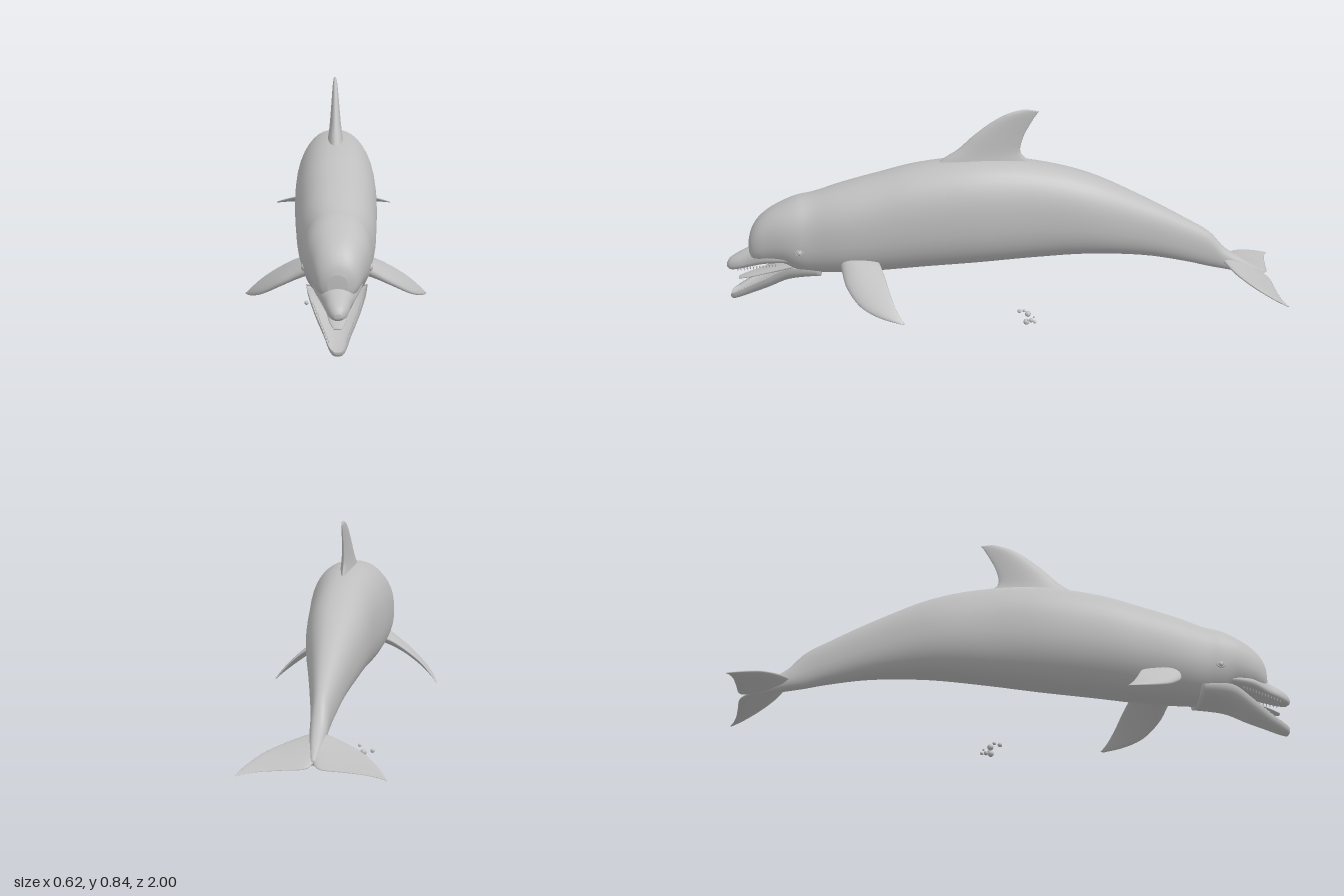
import * as THREE from 'three';

// Smoothly resample a list of number rows
function resample(rows, steps) {
  const out = [];
  for (let i = 0; i < rows.length - 1; i++) {
    const p0 = rows[Math.max(i - 1, 0)], p1 = rows[i], p2 = rows[i + 1];
    const p3 = rows[Math.min(i + 2, rows.length - 1)];
    for (let s = 0; s < steps; s++) {
      const t = s / steps;
      out.push(p1.map((v, k) => v + 0.5 * t * (p2[k] - p0[k]
        + t * (2 * p0[k] - 5 * v + 4 * p2[k] - p3[k]
        + t * (3 * (v - p2[k]) + p3[k] - p0[k])))));
    }
  }
  out.push(rows[rows.length - 1]);
  return out;
}

// Skin closed rings of points, with capped ends; mirror flips it across x
function skin(rings, mirror = false) {
  const n = rings[0].length, pos = [], idx = [];
  const add = (p) => pos.push(mirror ? -p.x : p.x, p.y, p.z);
  const tri = (a, b, c) => (mirror ? idx.push(a, c, b) : idx.push(a, b, c));
  rings.forEach((r) => r.forEach(add));
  const ends = [rings[0], rings[rings.length - 1]];
  ends.forEach((r) => add(r.reduce((s, p) => s.add(p), new THREE.Vector3()).divideScalar(n)));
  const first = rings.length * n, last = (rings.length - 1) * n;
  for (let j = 0; j < n; j++) {
    const k = (j + 1) % n;
    for (let i = 0; i < rings.length - 1; i++) {
      const a = i * n + j, b = i * n + k;
      tri(a, b, b + n);
      tri(a, b + n, a + n);
    }
    tri(first, k, j);
    tri(first + 1, last + j, last + k);
  }
  const g = new THREE.BufferGeometry();
  g.setAttribute('position', new THREE.Float32BufferAttribute(pos, 3));
  g.setIndex(idx);
  g.computeVertexNormals();
  return g;
}

// Rounded sections along z: rows of [z, top, middle, bottom, half width]
function trunk(rows, sides = 40, power = 0.88) {
  const soft = (v) => Math.sign(v) * Math.abs(v) ** power;
  return skin(resample(rows, 5).map(([z, top, mid, bot, w]) =>
    Array.from({ length: sides }, (_, j) => {
      const a = (j / sides) * Math.PI * 2, s = soft(Math.sin(a));
      const y = mid + (s > 0 ? (top - mid) * s : (mid - bot) * s);
      return new THREE.Vector3(w * soft(Math.cos(a)), y, z);
    })));
}

// Foil sections: rows of [leading x, y, z, trailing x, y, z, half thickness]
function foil(rows, normal, mirror) {
  const sides = 24;
  return skin(resample(rows, 5).map(([lx, ly, lz, tx, ty, tz, h]) => {
    const lead = new THREE.Vector3(lx, ly, lz), trail = new THREE.Vector3(tx, ty, tz);
    return Array.from({ length: sides }, (_, j) => {
      const a = (j / sides) * Math.PI * 2;
      return trail.clone().lerp(lead, 0.5 + 0.5 * Math.cos(a))
        .addScaledVector(normal, h * Math.sin(a) * (0.8 + 0.35 * Math.cos(a)));
    });
  }), mirror);
}

export function createModel() {
  const group = new THREE.Group();
  const grey = new THREE.MeshStandardMaterial({ color: 0xbfbfbf });
  grey.name = 'plain grey';
  const add = (name, geometry, x = 0, y = 0, z = 0) => {
    const mesh = new THREE.Mesh(geometry, grey);
    mesh.name = name;
    mesh.position.set(x, y, z);
    group.add(mesh);
    return mesh;
  };

  // Body from tail stock to forehead: [z, top, bottom, half width]
  const body = [
    [-0.93, 0.22, 0.2, 0.008], [-0.87, 0.26, 0.21, 0.02], [-0.8, 0.305, 0.225, 0.028],
    [-0.74, 0.37, 0.237, 0.032], [-0.65, 0.425, 0.26, 0.045], [-0.5, 0.507, 0.288, 0.07],
    [-0.3, 0.6, 0.3, 0.104], [-0.1, 0.65, 0.29, 0.12], [0.1, 0.665, 0.275, 0.137],
    [0.3, 0.645, 0.262, 0.14], [0.45, 0.608, 0.25, 0.135], [0.58, 0.572, 0.245, 0.128],
    [0.68, 0.54, 0.245, 0.113], [0.74, 0.527, 0.255, 0.11], [0.79, 0.507, 0.28, 0.102],
    [0.84, 0.48, 0.285, 0.088], [0.88, 0.447, 0.285, 0.074], [0.905, 0.41, 0.292, 0.056],
    [0.916, 0.375, 0.31, 0.03],
  ];
  add('body', trunk(body.map(([z, t, b, w]) => [z, t, (t + b) / 2, b, w])));

  // Upper beak
  add('upperBeak', trunk([
    [0.76, 0.36, 0.315, 0.292, 0.085], [0.85, 0.36, 0.312, 0.285, 0.072],
    [0.92, 0.332, 0.29, 0.266, 0.046], [0.96, 0.312, 0.278, 0.255, 0.036],
    [0.988, 0.294, 0.27, 0.252, 0.024], [1.0, 0.276, 0.268, 0.26, 0.01],
  ], 28));

  // Lower jaw: the section top dips below the lips to form a channel
  add('lowerJaw', trunk([
    [0.66, 0.26, 0.28, 0.24, 0.1], [0.77, 0.255, 0.287, 0.224, 0.094],
    [0.85, 0.212, 0.243, 0.188, 0.072], [0.92, 0.177, 0.2, 0.158, 0.046],
    [0.96, 0.16, 0.177, 0.142, 0.034], [0.985, 0.155, 0.163, 0.136, 0.024],
    [0.993, 0.153, 0.154, 0.145, 0.012],
  ], 28));

  // Tongue
  add('tongue', trunk([
    [0.76, 0.285, 0.275, 0.262, 0.05], [0.85, 0.255, 0.248, 0.24, 0.036],
    [0.92, 0.234, 0.228, 0.222, 0.026], [0.96, 0.22, 0.217, 0.214, 0.012],
  ], 20));

  // Teeth along both jaws
  const mix = THREE.MathUtils.lerp;
  for (const side of [-1, 1]) {
    for (let i = 0; i < 13; i++) {
      const t = i / 12, z = mix(0.82, 0.96, t);
      const tooth = new THREE.ConeGeometry(0.003, 0.012, 6);
      add('lowerTooth', tooth, side * mix(0.076, 0.028, t), mix(0.262, 0.179, t), z);
      add('upperTooth', tooth, side * mix(0.064, 0.026, t), mix(0.288, 0.257, t), z)
        .rotation.x = Math.PI;
    }
  }

  // Dorsal fin
  add('dorsalFin', foil([
    [0, 0.6, 0.29, 0, 0.6, -0.14, 0.045], [0, 0.66, 0.225, 0, 0.655, -0.085, 0.031],
    [0, 0.7, 0.165, 0, 0.69, -0.056, 0.024], [0, 0.75, 0.11, 0, 0.745, -0.067, 0.018],
    [0, 0.8, 0.045, 0, 0.79, -0.09, 0.013], [0, 0.832, -0.015, 0, 0.82, -0.108, 0.009],
    [0, 0.846, -0.07, 0, 0.838, -0.122, 0.004],
  ], new THREE.Vector3(1, 0, 0)));

  const flipper = [
    [0.08, 0.315, 0.59, 0.08, 0.32, 0.46, 0.035], [0.13, 0.287, 0.58, 0.13, 0.308, 0.442, 0.026],
    [0.19, 0.25, 0.56, 0.19, 0.275, 0.422, 0.018], [0.25, 0.208, 0.512, 0.245, 0.235, 0.403, 0.012],
    [0.288, 0.183, 0.445, 0.285, 0.195, 0.38, 0.007], [0.31, 0.168, 0.37, 0.306, 0.168, 0.357, 0.002],
  ];
  const fluke = [
    [0, 0.27, -0.78, 0, 0.207, -0.932, 0.024], [0.03, 0.262, -0.795, 0.025, 0.196, -0.962, 0.018],
    [0.1, 0.243, -0.832, 0.1, 0.192, -0.97, 0.012], [0.165, 0.222, -0.885, 0.165, 0.188, -0.977, 0.008],
    [0.21, 0.198, -0.945, 0.21, 0.183, -0.988, 0.005], [0.235, 0.18, -0.993, 0.235, 0.178, -1, 0.002],
  ];
  for (const side of [1, -1]) {
    const label = side > 0 ? 'left' : 'right';
    add(label + 'Flipper', foil(flipper, new THREE.Vector3(-0.5, -0.86, 0), side < 0));
    add(label + 'Fluke', foil(fluke, new THREE.Vector3(0, -1, 0), side < 0));
    // Eye with a low lid around it
    add(label + 'Eye', new THREE.SphereGeometry(0.01, 16, 12), side * 0.106, 0.355, 0.73);
    const lid = add(label + 'Eyelid', new THREE.TorusGeometry(0.013, 0.004, 8, 20), side * 0.107, 0.355, 0.73);
    lid.rotation.y = Math.PI / 2;
    lid.scale.y = 0.75;
  }

  // Bubbles below: [x, y, z, radius]
  [
    [-0.105, 0.012, -0.06, 0.008], [-0.075, 0.014, -0.09, 0.011], [-0.06, 0.035, -0.075, 0.006],
    [-0.035, 0.02, -0.11, 0.004], [-0.025, 0.012, -0.1, 0.008], [0.013, 0.025, -0.08, 0.011],
    [0.028, 0.031, -0.11, 0.006], [0.047, 0.048, -0.085, 0.004],
  ].forEach(([x, y, z, r]) => add('bubble', new THREE.SphereGeometry(r, 16, 12), x, y, z));

  return group;
}
